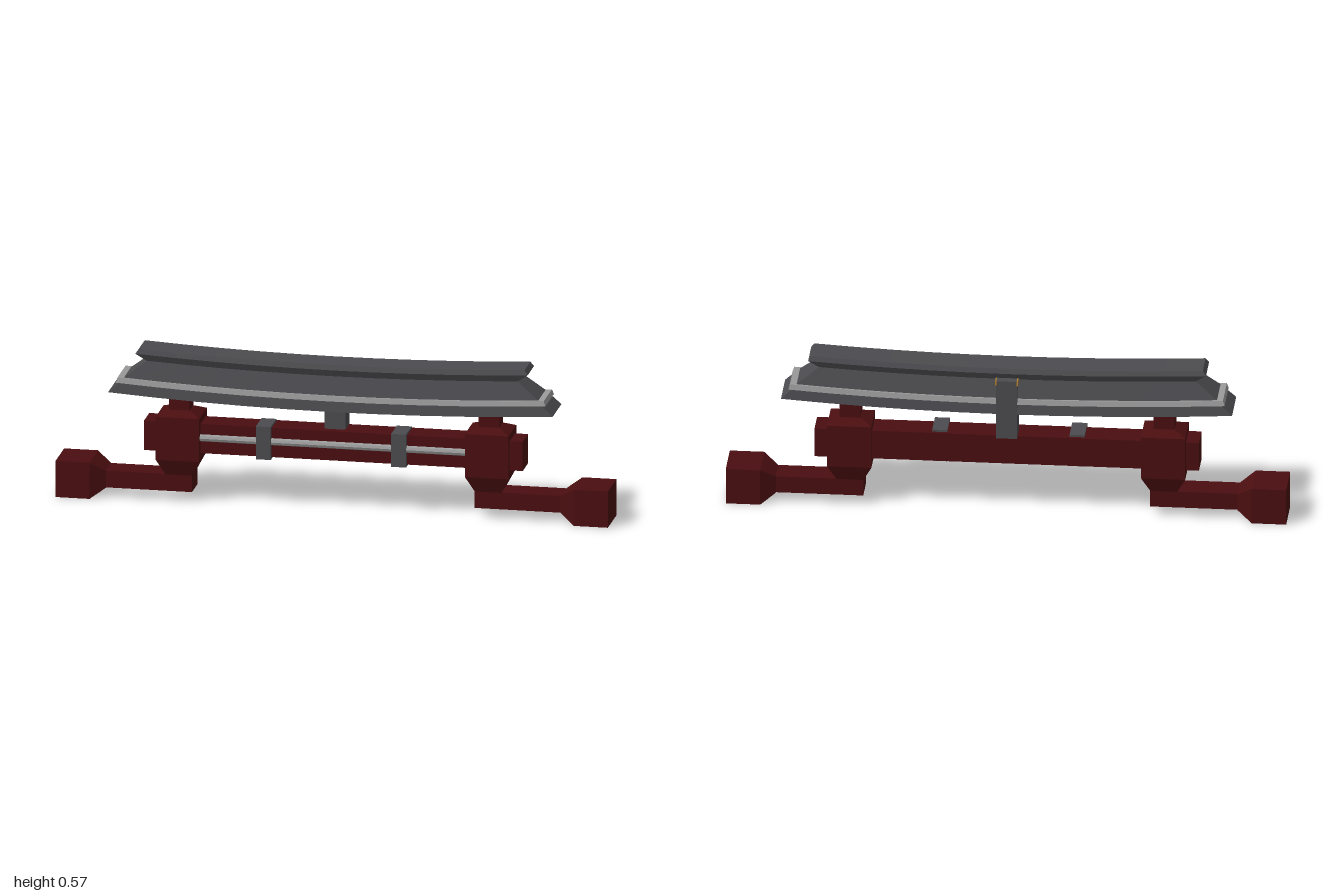
import * as THREE from 'three';

const mat = (name, color) => {
  const m = new THREE.MeshStandardMaterial({ color, flatShading: true });
  m.name = name;
  return m;
};

// Stacked rectangles [y, halfX, halfZ] joined into one solid; bend lifts points along x
function stack(levels, segments = 1, bend = () => 0) {
  const n = levels.length - 1;
  const g = new THREE.BoxGeometry(2, 1, 2, segments, n, 1);
  const p = g.attributes.position;
  for (let i = 0; i < p.count; i++) {
    const [y, hx, hz] = levels[Math.round((p.getY(i) + 0.5) * n)];
    const x = p.getX(i) * hx;
    p.setXYZ(i, x, y + bend(x), p.getZ(i) * hz);
  }
  const flat = g.toNonIndexed();
  flat.computeVertexNormals();
  return flat;
}

export function createModel() {
  const model = new THREE.Group();
  model.name = 'roofedBeam';
  const red = mat('darkRed', 0x4a0e10);
  const grey = mat('slateGrey', 0x4c4c50);
  const light = mat('lightGrey', 0x9a9a9a);
  const gold = mat('gold', 0xb8842e);

  const add = (parent, name, geometry, material, x = 0, y = 0, z = 0) => {
    const m = new THREE.Mesh(geometry, material);
    m.name = name;
    m.position.set(x, y, z);
    parent.add(m);
    return m;
  };
  // Box given by its lower and upper corners
  const block = (parent, name, material, [x0, y0, z0], [x1, y1, z1]) =>
    add(parent, name, new THREE.BoxGeometry(x1 - x0, y1 - y0, z1 - z0), material,
      (x0 + x1) / 2, (y0 + y1) / 2, (z0 + z1) / 2);

  // Sagging roof: eave, light trim, then slope with flared ridge cap
  const sag = (x) => 0.027 * ((x / 0.8) ** 2 - 1);
  const roof = new THREE.Group();
  roof.name = 'roof';
  roof.position.z = 0.011;
  model.add(roof);
  const roofPart = (name, levels, material) => add(roof, name, stack(levels, 10, sag), material);
  roofPart('eave', [[0.407, 0.805, 0.082], [0.447, 0.765, 0.076]], grey);
  roofPart('eaveTrim', [[0.445, 0.778, 0.08], [0.464, 0.772, 0.076]], light);
  roofPart('roofSlope', [[0.46, 0.755, 0.07], [0.53, 0.672, 0.049],
    [0.555, 0.71, 0.061], [0.573, 0.698, 0.054]], grey);

  // Main crossbeam with a rail along its front
  const zc = -0.0125;
  block(model, 'crossbeam', red, [-0.686, 0.184, -0.062], [0.686, 0.292, 0.038]);
  const rail = add(model, 'frontRail', new THREE.CylinderGeometry(0.013, 0.013, 0.98, 8), light, 0, 0.242, 0.041);
  rail.rotation.z = Math.PI / 2;

  // Clamps over the beam
  for (const x of [-0.25, 0.24]) {
    block(model, 'clamp', grey, [x - 0.027, 0.178, -0.05], [x + 0.027, 0.3, 0.056]);
  }

  // Centre bracket carrying the roof, with gold side tips
  block(model, 'centreBracket', grey, [-0.038, 0.285, -0.071], [0.038, 0.508, 0.01]);
  for (const s of [-1, 1]) {
    block(model, 'bracketTip', gold, [s * 0.0385 - 0.002, 0.491, -0.0712], [s * 0.0385 + 0.002, 0.51, -0.03]);
  }

  // Mirrored end supports: pillar, roof post, arm and end block
  for (const s of [1, -1]) {
    const side = new THREE.Group();
    side.name = s > 0 ? 'leftSupport' : 'rightSupport';
    side.position.z = zc;
    side.rotation.y = s > 0 ? 0 : Math.PI;
    model.add(side);
    add(side, 'pillar', stack([[0.098, 0.048, 0.049], [0.157, 0.079, 0.0735],
      [0.316, 0.079, 0.0735], [0.334, 0.04, 0.035]]), red, 0.56);
    block(side, 'roofPost', red, [0.523, 0.32, -0.0345], [0.598, 0.402, 0.0345]);
    block(side, 'arm', red, [0.512, 0.037, -0.049], [0.83, 0.099, 0.049]);
    const end = stack([[0.823, 0.031, 0.049], [0.877, 0.067, 0.0795], [1, 0.067, 0.0795]]);
    end.rotateZ(-Math.PI / 2);
    add(side, 'endBlock', end, red, 0, 0.067);
  }
  return model;
}
